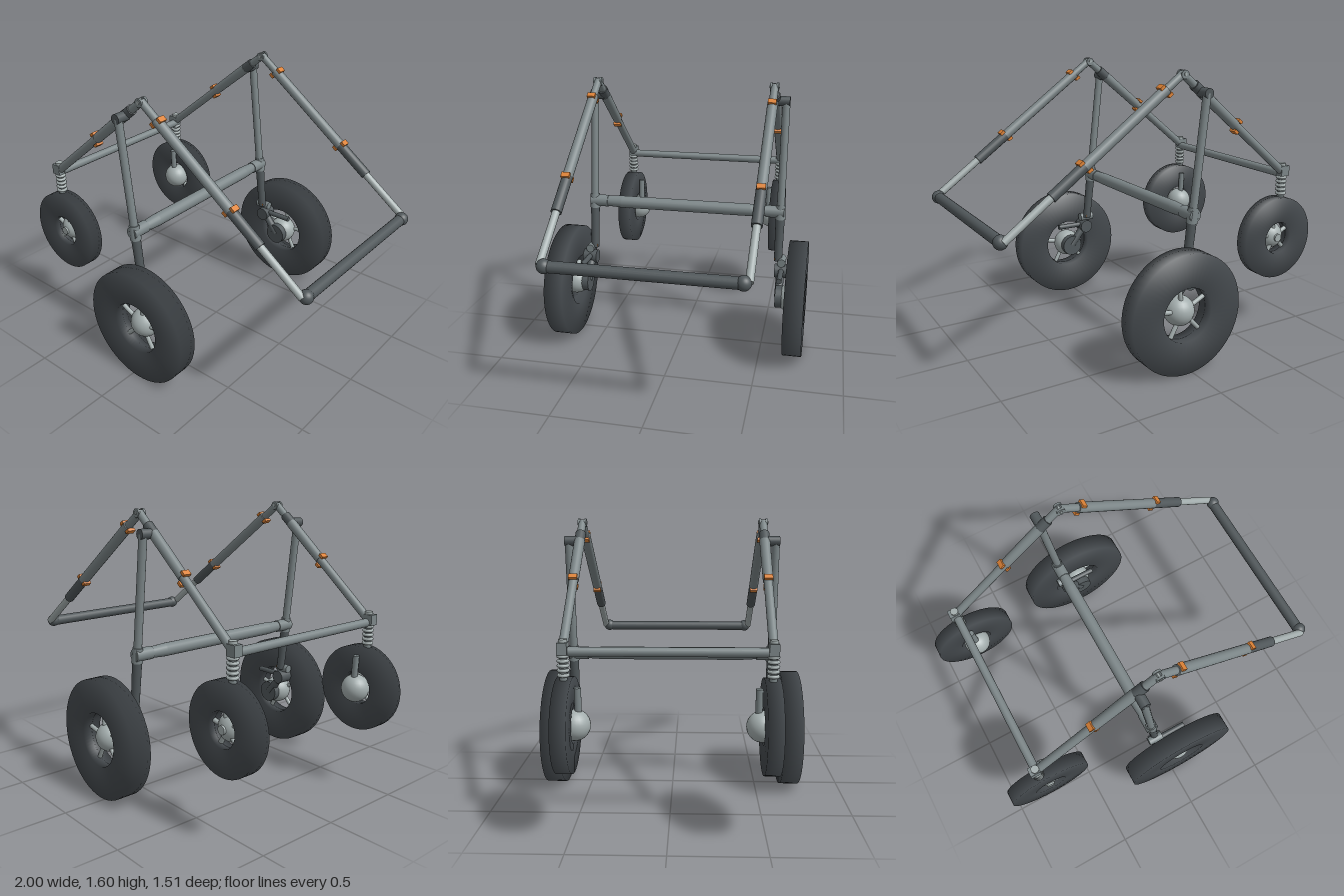
import * as THREE from 'three';

const mat = (name, color) => {
  const m = new THREE.MeshStandardMaterial({ color });
  m.name = name;
  return m;
};

export function createModel() {
  const model = new THREE.Group();
  model.name = 'roverChassis';
  const steel = mat('steel grey', 0x7c8688);
  const pale = mat('pale metal', 0xa3adad);
  const darkSteel = mat('dark steel', 0x50575a);
  const rubber = mat('tyre rubber', 0x43484c);
  const orange = mat('orange clamp', 0xdd8236);
  const V = (x, y, z) => new THREE.Vector3(x, y, z);
  const UP = V(0, 1, 0);

  const add = (parent, name, geo, material, p) => {
    const m = new THREE.Mesh(geo, material);
    m.name = name;
    if (p) m.position.copy(p);
    parent.add(m);
    return m;
  };

  // round bar between two points
  const rod = (parent, name, material, a, b, r, r2 = r) => {
    const d = b.clone().sub(a);
    const m = add(parent, name, new THREE.CylinderGeometry(r2, r, d.length(), 20), material,
      a.clone().add(b).multiplyScalar(0.5));
    m.quaternion.setFromUnitVectors(UP, d.normalize());
    return m;
  };
  const ball = (parent, name, material, p, r) =>
    add(parent, name, new THREE.SphereGeometry(r, 24, 16), material, p);

  // pair of small tabs above and below a beam
  const clamp = (parent, p, angle) => {
    const g = new THREE.Group();
    g.name = 'clamp';
    g.position.copy(p);
    g.rotation.z = angle;
    for (const s of [-1, 1])
      add(g, 'clampTab', new THREE.BoxGeometry(0.03, 0.016, 0.046), orange, V(s * 0.008, s * 0.03, 0));
    parent.add(g);
  };

  // tyre, spokes and hub, axle along z
  const wheel = (name, p, ro, ri, h, hubR, hubZ, side) => {
    const g = new THREE.Group();
    g.name = name;
    g.position.copy(p);
    const profile = [[ri, 0], [ri, -h], [ro, -h], [ro, h], [ri, h], [ri, 0]]
      .map(([x, y]) => new THREE.Vector2(x, y));
    add(g, 'tyre', new THREE.LatheGeometry(profile, 56), rubber).rotation.x = Math.PI / 2;
    for (let i = 0; i < 5; i++) {
      const a = 0.18 + i * Math.PI * 0.4;
      rod(g, 'spoke', pale, V(0, 0, 0), V(Math.cos(a) * (ri + 0.01), Math.sin(a) * (ri + 0.01), 0), 0.013);
    }
    ball(g, 'hub', pale, V(0, 0, side * hubZ), hubR);
    model.add(g);
    return g;
  };

  for (const s of [-1, 1]) {
    const side = new THREE.Group();
    side.name = s > 0 ? 'frontSideFrame' : 'backSideFrame';
    model.add(side);
    const P = (x, y, z) => V(x, y, z * s);
    const zb = 0.515, zl = 0.577;

    // forward beam, from apex down to the small wheel post
    const apex = P(-0.065, 1.58, zb), post = P(-0.785, 0.985, zb);
    const fa = t => apex.clone().lerp(post, t);
    const fAngle = Math.atan2(post.y - apex.y, post.x - apex.x);
    rod(side, 'beamNeck', steel, fa(0), fa(0.2), 0.022);
    rod(side, 'beamSleeve', darkSteel, fa(0.1), fa(0.17), 0.029);
    rod(side, 'forwardBeamUpper', steel, fa(0.17), fa(0.5), 0.03, 0.028);
    rod(side, 'forwardBeamLower', steel, fa(0.5), fa(1), 0.024);
    clamp(side, fa(0.51), fAngle + Math.PI);

    // rearward beam, telescoping toward the end bar
    const tip = P(0.955, 0.835, zb);
    const ra = t => apex.clone().lerp(tip, t);
    const rAngle = Math.atan2(tip.y - apex.y, tip.x - apex.x);
    rod(side, 'rearBeamNeck', steel, ra(0), ra(0.11), 0.022);
    rod(side, 'rearBeamUpper', steel, ra(0.1), ra(0.57), 0.029);
    rod(side, 'rearBeamSleeve', darkSteel, ra(0.57), ra(0.75), 0.029);
    rod(side, 'rearBeamSlider', pale, ra(0.74), ra(1), 0.021);
    clamp(side, ra(0.11), rAngle);
    clamp(side, ra(0.57), rAngle);
    ball(side, 'endJoint', darkSteel, P(0.96, 0.832, 0.49), 0.038);

    // apex hinge
    for (const dz of [-0.018, 0.018])
      rod(side, 'hingeCheek', steel, P(-0.065, 1.578, zb + dz - 0.006), P(-0.065, 1.578, zb + dz + 0.006), 0.024);
    rod(side, 'hingePin', pale, P(-0.065, 1.58, zb - 0.028), P(-0.065, 1.58, zb + 0.028), 0.009);

    // long leg hung from the forward beam
    const top = P(-0.178, 1.48, zl), foot = P(-0.07, 0.53, zl);
    const leg = t => top.clone().lerp(foot, t);
    rod(side, 'legPivot', darkSteel, P(-0.178, 1.48, zb), P(-0.178, 1.48, zl + 0.022), 0.028);
    rod(side, 'legUpper', steel, leg(0), leg(0.68), 0.023);
    rod(side, 'legCollar', steel, leg(0.64), leg(0.73), 0.029, 0.032);
    rod(side, 'legLower', darkSteel, leg(0.73), leg(1), 0.027, 0.024);
    rod(side, 'legJoint', steel, P(-0.107, 0.83, 0.49), P(-0.107, 0.83, 0.6), 0.036);
    add(side, 'ankleTab', new THREE.BoxGeometry(0.03, 0.014, 0.016), orange, P(-0.07, 0.545, 0.565));

    // ankle and drive of the large wheel
    rod(side, 'ankleMotor', darkSteel, P(-0.06, 0.47, 0.56), P(-0.06, 0.47, 0.645), 0.042);
    rod(side, 'ankleAxle', steel, P(-0.12, 0.53, 0.6), P(-0.03, 0.53, 0.6), 0.025);
    rod(side, 'ankleLink', darkSteel, P(-0.06, 0.47, 0.595), P(0.04, 0.345, 0.595), 0.024);
    rod(side, 'steeringBar', darkSteel, P(-0.06, 0.48, 0.6), P(0.13, 0.482, 0.6), 0.016);
    rod(side, 'driveMotor', darkSteel, P(0.04, 0.345, 0.578), P(0.04, 0.345, 0.622), 0.066);
    rod(side, 'driveShaft', steel, P(0.04, 0.345, 0.6), P(0.04, 0.345, 0.68), 0.03);
    wheel('largeWheel', P(0.04, 0.345, 0.7), 0.342, 0.153, 0.055, 0.085, -0.03, s);

    // sprung post above the small wheel
    add(side, 'postCap', new THREE.BoxGeometry(0.058, 0.06, 0.05), steel, P(-0.798, 0.985, zb));
    rod(side, 'postTop', pale, P(-0.79, 1.0, zb), P(-0.79, 1.03, zb), 0.022);
    rod(side, 'springCore', steel, P(-0.79, 0.81, zb), P(-0.79, 0.97, zb), 0.02);
    for (let i = 0; i < 5; i++) {
      const ring = add(side, 'springCoil', new THREE.TorusGeometry(0.023, 0.009, 8, 20), pale,
        P(-0.79, 0.85 + i * 0.024, zb));
      ring.rotation.x = Math.PI / 2;
    }

    // fork and small wheel
    rod(side, 'forkStrut', steel, P(-0.765, 0.78, 0.452), P(-0.755, 0.575, 0.452), 0.018);
    ball(side, 'forkEnd', steel, P(-0.755, 0.583, 0.452), 0.026);
    rod(side, 'forkAxle', steel, P(-0.755, 0.585, 0.45), P(-0.755, 0.585, 0.52), 0.02);
    const small = wheel('smallWheel', P(-0.755, 0.585, zb), 0.245, 0.095, 0.04, 0.08, -0.045, s);
    rod(small, 'hubCap', pale, V(0, 0, 0), V(0, 0, s * 0.042), 0.024);
  }

  // cross bars joining both sides
  rod(model, 'forwardCrossBar', steel, V(-0.79, 0.968, -0.5), V(-0.79, 0.968, 0.5), 0.024);
  rod(model, 'endCrossBar', darkSteel, V(0.958, 0.83, -0.49), V(0.958, 0.83, 0.49), 0.031);
  rod(model, 'middleCrossBar', steel, V(-0.107, 0.83, -0.4), V(-0.107, 0.83, 0.4), 0.037);
  for (const s of [-1, 1])
    rod(model, 'middleBarEnd', steel, V(-0.107, 0.83, s * 0.4), V(-0.107, 0.83, s * 0.56), 0.037, 0.027);

  return model;
}
